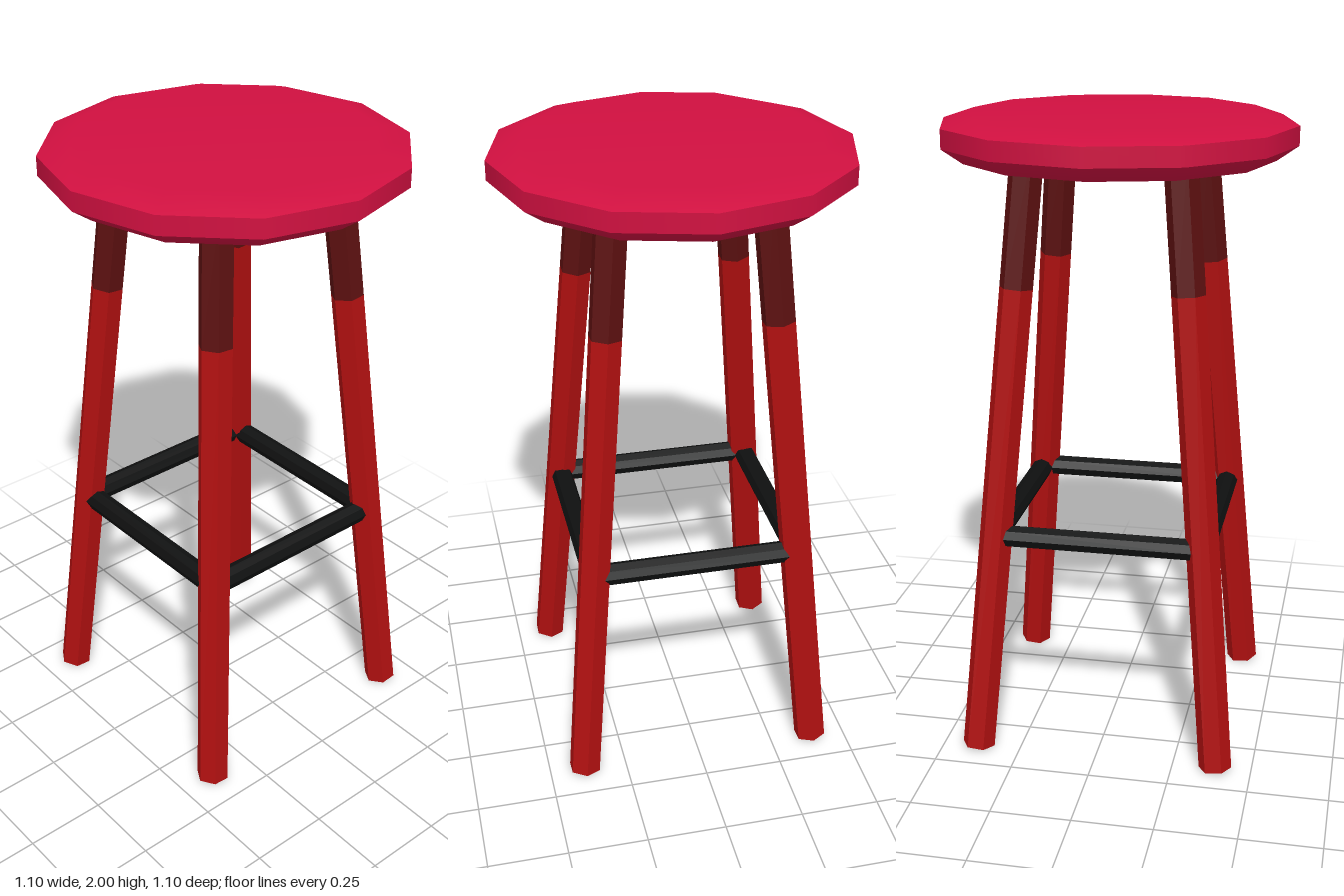
import * as THREE from 'three';

const mat = (name, color) => {
  const m = new THREE.MeshStandardMaterial({ color });
  m.name = name;
  return m;
};

export function createModel() {
  const crimson = mat('crimson seat', 0xd01040);
  const red = mat('red leg', 0xb01010);
  const maroon = mat('dark leg top', 0x5c1010);
  const black = mat('black rail', 0x0f1010);

  const model = new THREE.Group();
  model.name = 'stool';
  const V = (x, y, z) => new THREE.Vector3(x, y, z);

  // Straight prism between two points, with its corners turned by spin
  function bar(name, a, b, radius, sides, spin, material) {
    const dir = b.clone().sub(a);
    const geo = new THREE.CylinderGeometry(radius, radius, dir.length(), sides).toNonIndexed();
    geo.rotateY(spin);
    geo.computeVertexNormals();
    const mesh = new THREE.Mesh(geo, material);
    mesh.name = name;
    mesh.position.copy(a).add(b).multiplyScalar(0.5);
    mesh.quaternion.setFromUnitVectors(V(0, 1, 0), dir.normalize());
    return mesh;
  }

  // Twelve-sided seat: underside, rim and top are separate for crisp edges
  const seat = new THREE.Group();
  seat.name = 'seat';
  const profiles = {
    seatUnderside: [[0, 1.862], [0.484, 1.862], [0.55, 1.908]],
    seatRim: [[0.55, 1.908], [0.55, 1.967]],
    seatTop: [[0.55, 1.967], [0.452, 2], [0, 2]],
  };
  for (const [name, pts] of Object.entries(profiles)) {
    const geo = new THREE.LatheGeometry(pts.map(([r, y]) => new THREE.Vector2(r, y)), 12);
    const mesh = new THREE.Mesh(geo, crimson);
    mesh.name = name;
    seat.add(mesh);
  }
  model.add(seat);

  // Splayed six-sided legs, with a darker section at the top
  const spread = (y) => 0.387 - 0.084 * y;
  for (const sx of [-1, 1]) {
    for (const sz of [-1, 1]) {
      const at = (y) => V(sx * spread(y), y, sz * spread(y));
      const leg = new THREE.Group();
      leg.name = (sz > 0 ? 'front' : 'back') + (sx > 0 ? 'Left' : 'Right') + 'Leg';
      leg.add(bar('legLower', at(0.006), at(1.5), 0.052, 6, Math.PI / 6, red));
      leg.add(bar('legUpper', at(1.5), at(1.9), 0.052, 6, Math.PI / 6, maroon));
      model.add(leg);
    }
  }

  // Footrest rails joining the legs
  const railY = 0.72;
  const r = spread(railY);
  for (const s of [-1, 1]) {
    model.add(bar(s > 0 ? 'frontRail' : 'backRail', V(-r, railY, s * r), V(r, railY, s * r), 0.035, 8, 0, black));
    model.add(bar(s > 0 ? 'leftRail' : 'rightRail', V(s * r, railY, -r), V(s * r, railY, r), 0.035, 8, 0, black));
  }
  return model;
}
